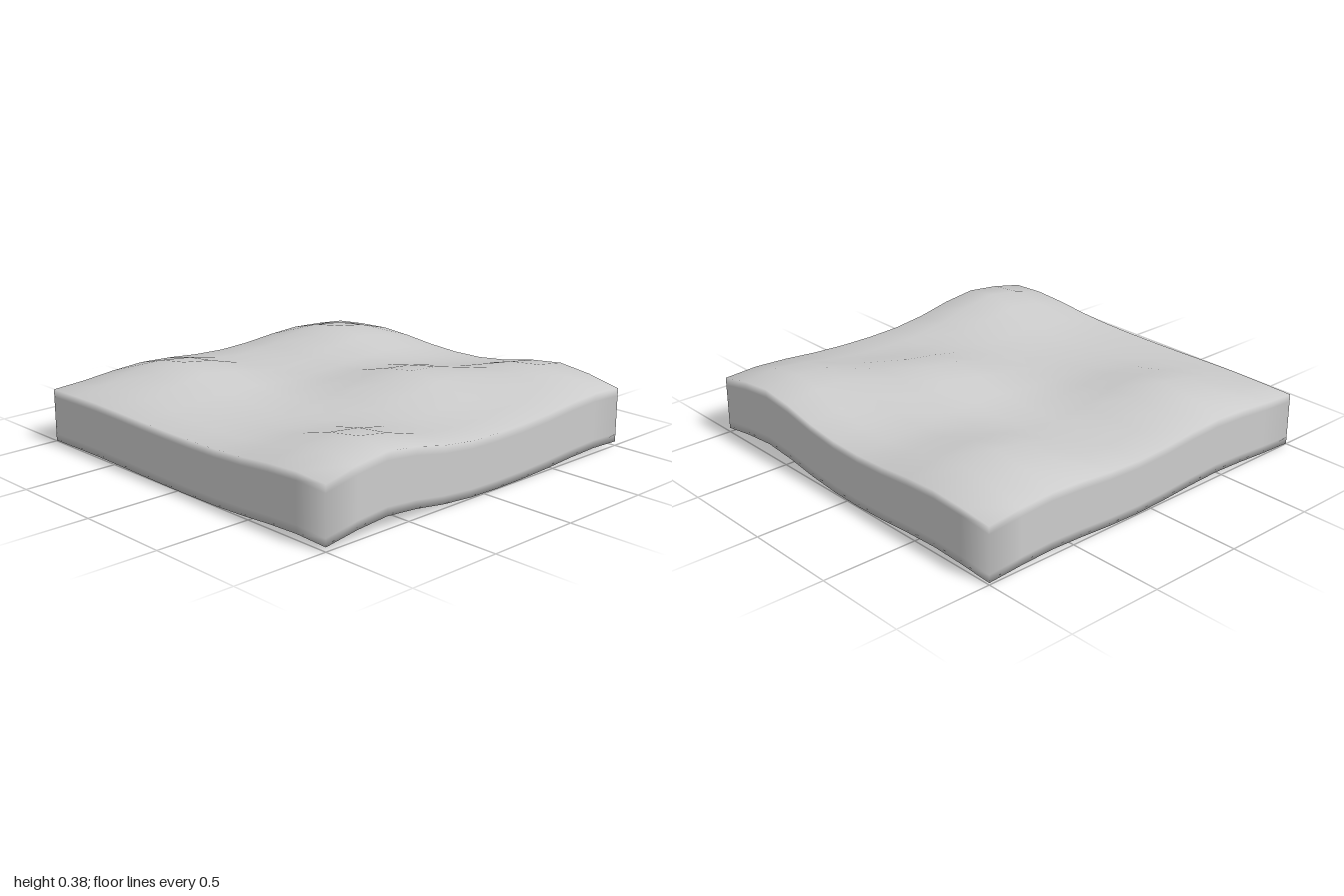
import * as THREE from 'three';
import { mergeVertices } from 'three/addons/utils/BufferGeometryUtils.js';

const THICKNESS = 0.27;
const BUMP_HEIGHT = 0.115;
const BUMP_SPREAD = 0.25;

// Centres (x, z) of the rounded humps
const HUMPS = [[0.82, 0.64], [0.64, -0.82], [0.27, -0.27], [-0.64, 0.45], [-0.64, -0.64]];

// Height of the humps above the flat slab
function bump(x, z) {
  let sum = 0;
  for (const [hx, hz] of HUMPS) {
    const d2 = (x - hx) ** 2 + (z - hz) ** 2;
    sum += Math.exp(-d2 / (2 * BUMP_SPREAD ** 2));
  }
  return BUMP_HEIGHT * Math.min(sum, 1);
}

export function createModel() {
  const group = new THREE.Group();
  group.name = 'wavyTile';

  // Square slab with shared vertices, so the shading rolls over its edges
  let geometry = new THREE.BoxGeometry(2, THICKNESS, 2, 11, 7, 11);
  geometry.translate(0, THICKNESS / 2, 0);
  geometry.deleteAttribute('normal');
  geometry.deleteAttribute('uv');
  geometry = mergeVertices(geometry);

  // Raise the top fully over each hump and the underside a little less
  const pos = geometry.attributes.position;
  for (let i = 0; i < pos.count; i++) {
    const y = pos.getY(i);
    const weight = THREE.MathUtils.lerp(0.7, 1, y / THICKNESS);
    pos.setY(i, y + weight * bump(pos.getX(i), pos.getZ(i)));
  }
  geometry.computeVertexNormals();

  const slab = new THREE.Mesh(geometry, new THREE.MeshStandardMaterial({ color: 0xcccccc }));
  slab.name = 'wavySlab';
  group.add(slab);
  return group;
}
